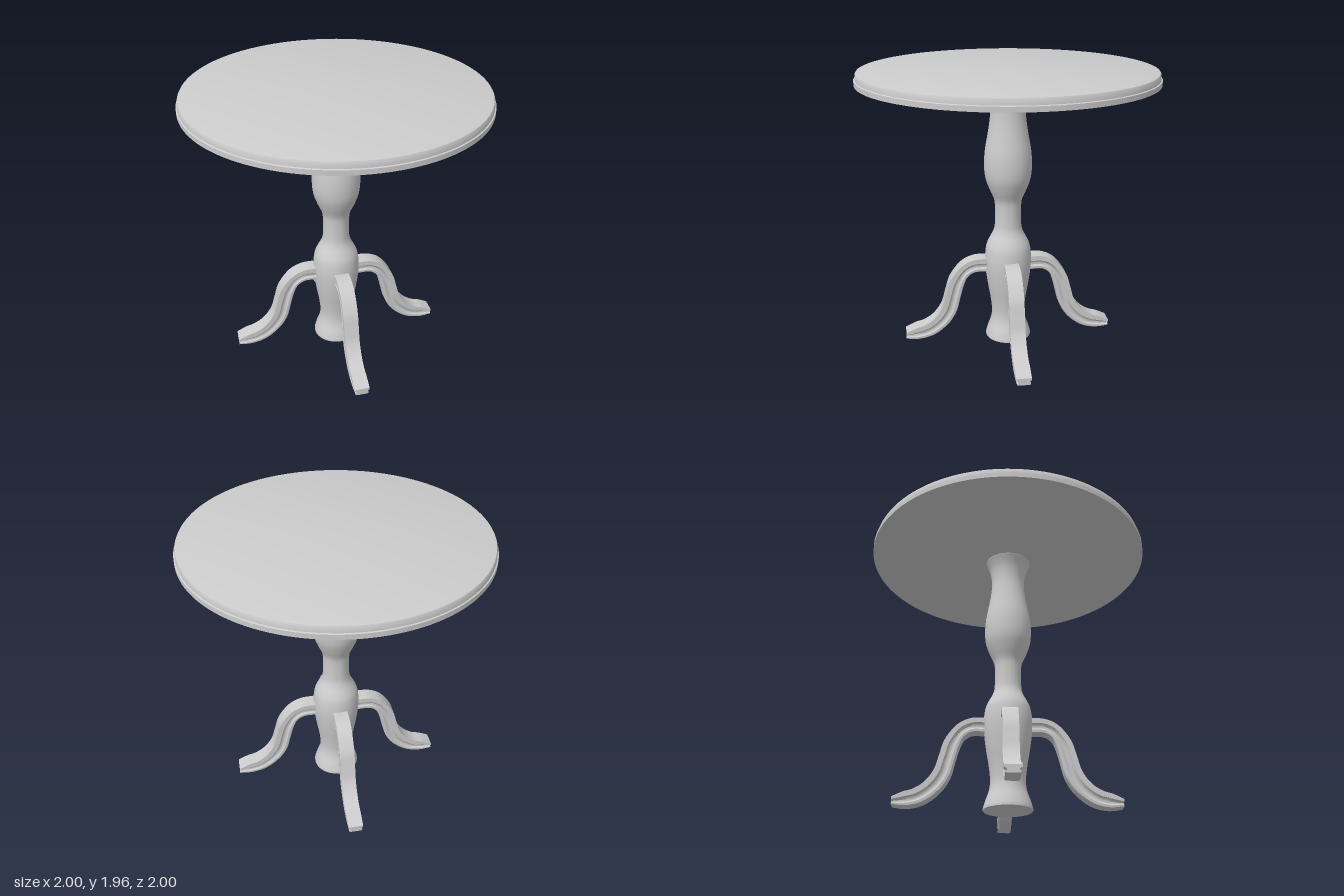
import * as THREE from 'three';
import { toCreasedNormals } from 'three/addons/utils/BufferGeometryUtils.js';

const material = new THREE.MeshStandardMaterial({ color: 0xcccccc });
const vectors = (points) => points.map(([x, y]) => new THREE.Vector2(x, y));

function addMesh(parent, name, geometry) {
  const mesh = new THREE.Mesh(geometry, material);
  mesh.name = name;
  parent.add(mesh);
  return mesh;
}

// Moulded leg section: half width and height fraction, bottom to top
const HALF_SECTION = [
  [0.036, 0], [0.045, 0.06], [0.047, 0.22], [0.037, 0.34],
  [0.036, 0.48], [0.043, 0.6], [0.052, 0.66], [0.052, 1],
];

// Leg swept between an upper and a lower edge curve, pointing along +x
function legGeometry() {
  const upper = new THREE.SplineCurve(vectors([
    [0.16, 0.625], [0.25, 0.62], [0.34, 0.575], [0.42, 0.47], [0.455, 0.36],
    [0.485, 0.26], [0.54, 0.18], [0.61, 0.13], [0.68, 0.108], [0.75, 0.075],
  ]));
  const lower = new THREE.SplineCurve(vectors([
    [0.16, 0.52], [0.24, 0.52], [0.295, 0.485], [0.325, 0.42], [0.35, 0.33],
    [0.38, 0.22], [0.44, 0.125], [0.54, 0.045], [0.65, 0.015], [0.75, 0.025],
  ]));
  const section = [
    ...HALF_SECTION,
    ...[...HALF_SECTION].reverse().map(([w, v]) => [-w, v]),
  ];
  const count = section.length;
  const steps = 54;
  const positions = [];
  const index = [];
  for (let i = 0; i <= steps; i++) {
    const top = upper.getPoint(i / steps);
    const bottom = lower.getPoint(i / steps);
    for (const [w, v] of section) {
      const p = bottom.clone().lerp(top, v);
      positions.push(p.x, p.y, w);
    }
  }
  for (let i = 0; i < steps; i++) {
    for (let j = 0; j < count; j++) {
      const a = i * count + j;
      const b = i * count + (j + 1) % count;
      index.push(a, a + count, b, b, a + count, b + count);
    }
  }
  // End caps
  const last = steps * count;
  const caps = THREE.ShapeUtils.triangulateShape(vectors(section), []);
  const contour = vectors(section);
  for (const [a, b, c] of caps) {
    const ab = contour[b].clone().sub(contour[a]);
    const ac = contour[c].clone().sub(contour[a]);
    const [p, q] = ab.cross(ac) > 0 ? [b, c] : [c, b];
    index.push(a, p, q, last + a, last + q, last + p);
  }
  const geometry = new THREE.BufferGeometry();
  geometry.setAttribute('position', new THREE.Float32BufferAttribute(positions, 3));
  geometry.setIndex(index);
  return toCreasedNormals(geometry, 0.6);
}

export function createModel() {
  const table = new THREE.Group();
  table.name = 'pedestalTable';

  // Round top with a shallow step and a softened upper rim
  const topProfile = vectors([
    [0, 1.88], [1, 1.88], [1, 1.912], [0.992, 1.916],
    [0.99, 1.945], [0.984, 1.956], [0.97, 1.96], [0, 1.96],
  ]);
  addMesh(table, 'tableTop', toCreasedNormals(new THREE.LatheGeometry(topProfile, 128), 0.5));

  // Turned column
  const turning = new THREE.SplineCurve(vectors([
    [0.163, 0.015], [0.15, 0.06], [0.126, 0.13], [0.118, 0.2], [0.128, 0.3],
    [0.145, 0.4], [0.16, 0.51], [0.165, 0.61], [0.156, 0.7], [0.135, 0.755],
    [0.107, 0.81], [0.093, 0.87], [0.092, 1.0], [0.1, 1.06], [0.13, 1.13],
    [0.157, 1.21], [0.165, 1.3], [0.159, 1.4], [0.142, 1.5], [0.126, 1.6],
    [0.118, 1.7], [0.128, 1.79], [0.15, 1.85], [0.163, 1.875],
  ]));
  const columnProfile = [
    ...vectors([[0, 0], [0.163, 0]]),
    ...turning.getPoints(92),
    ...vectors([[0.163, 1.885]]),
  ];
  addMesh(table, 'column', toCreasedNormals(new THREE.LatheGeometry(columnProfile, 64), 0.7));

  // Four curved legs around the column
  const leg = legGeometry();
  ['leftLeg', 'backLeg', 'rightLeg', 'frontLeg'].forEach((name, i) => {
    addMesh(table, name, leg).rotation.y = i * Math.PI / 2;
  });

  return table;
}
